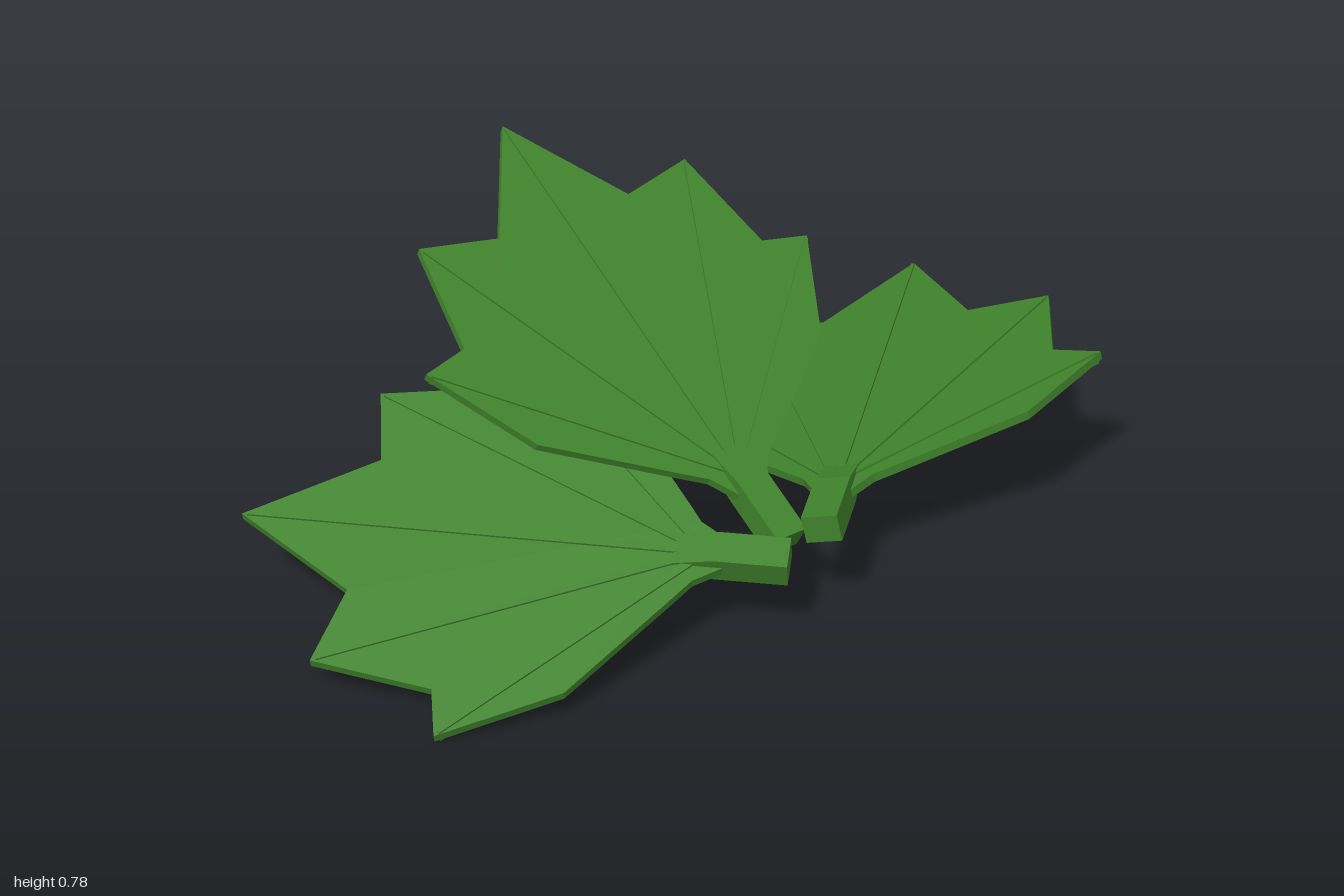
import * as THREE from 'three';

const GREEN = new THREE.MeshStandardMaterial({ color: 0x3f822b, flatShading: true });

// Half outline of the blade: [across, along], from the stalk to the tip
const HALF = [
  [0.04, 0.16], [0.08, 0.22], [0.13, 0.255], [0.395, 0.445], [0.53, 0.695],
  [0.415, 0.722], [0.37, 0.992], [0.18, 0.952], [0, 1.227],
];
// Lobe tips that carry a vein
const LOBES = [[-0.53, 0.695], [-0.37, 0.992], [0, 1.227], [0.37, 0.992], [0.53, 0.695]];
const VEIN_ROOT = [0, 0.2];

// Leaf lies flat in its own frame: x across, y up, -z towards the tip
function bladeGeometry() {
  const mirrored = HALF.slice(0, -1).reverse().map(([u, v]) => [-u, v]);
  const shape = new THREE.Shape([...HALF, ...mirrored].map(([u, v]) => new THREE.Vector2(u, v)));
  const geo = new THREE.ExtrudeGeometry(shape, { depth: 0.02, bevelEnabled: false });
  return geo.translate(0, 0, -0.01).rotateX(-Math.PI / 2);
}

// Slim rib standing proud of both faces, narrowing towards the lobe tip
function veinGeometry([u, v]) {
  const du = u - VEIN_ROOT[0], dv = v - VEIN_ROOT[1];
  const length = Math.hypot(du, dv) - 0.012;
  const geo = new THREE.BoxGeometry(0.02, 0.03, length).translate(0, 0, -length / 2);
  const p = geo.attributes.position;
  for (let i = 0; i < p.count; i++) {
    if (p.getZ(i) < -length / 2) p.setX(i, p.getX(i) * 0.4);
  }
  return geo.rotateY(-Math.atan2(du, dv)).translate(VEIN_ROOT[0], 0, -VEIN_ROOT[1]);
}

// Square stalk that flattens into the blade
function stalkGeometry() {
  const start = 0.02, end = 0.27;
  const geo = new THREE.BoxGeometry(0.08, 0.064, end - start, 1, 1, 2);
  geo.translate(0, 0, -(start + end) / 2);
  const p = geo.attributes.position;
  for (let i = 0; i < p.count; i++) {
    const z = p.getZ(i);
    if (z < -0.26) p.setY(i, p.getY(i) * 0.4);
    else if (z < -0.1) p.setZ(i, -0.18);
  }
  geo.computeVertexNormals();
  return geo;
}

function createLeaf(name, base, along, across) {
  const leaf = new THREE.Group();
  leaf.name = name;
  const add = (part, geo) => {
    const mesh = new THREE.Mesh(geo, GREEN);
    mesh.name = part;
    leaf.add(mesh);
  };
  add('blade', bladeGeometry());
  add('stalk', stalkGeometry());
  LOBES.forEach((lobe, i) => add(`vein${i + 1}`, veinGeometry(lobe)));

  // Orient by the stalk direction and the direction across the blade
  const z = new THREE.Vector3(...along).normalize().negate();
  const y = new THREE.Vector3().crossVectors(z, new THREE.Vector3(...across)).normalize();
  const x = new THREE.Vector3().crossVectors(y, z);
  leaf.quaternion.setFromRotationMatrix(new THREE.Matrix4().makeBasis(x, y, z));
  leaf.position.set(...base);
  return leaf;
}

export function createModel() {
  const model = new THREE.Group();
  model.name = 'leafCluster';
  model.add(
    createLeaf('middleLeaf', [-0.042, 0.195, 0.503], [0, 0.483, -0.875], [1, 0, 0]),
    createLeaf('leftLeaf', [0, 0.238, 0.543], [0.775, 0.01, -0.63], [0.625, 0.225, 0.747]),
    createLeaf('rightLeaf', [-0.068, 0.2, 0.556], [-0.695, -0.002, -0.719], [0.66, 0.327, -0.675]),
  );
  return model;
}
